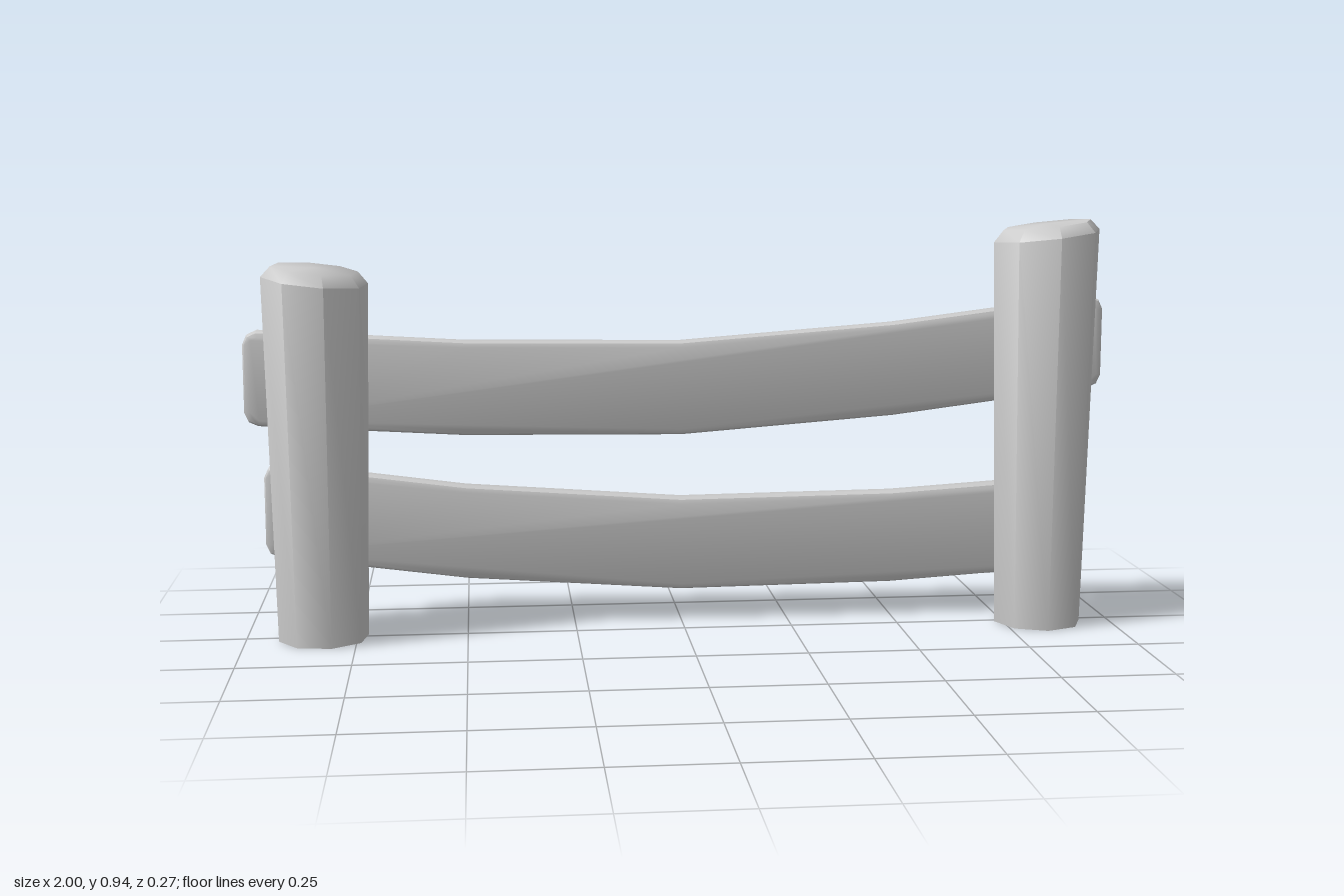
import * as THREE from 'three';
import { toCreasedNormals } from 'three/addons/utils/BufferGeometryUtils.js';

const material = new THREE.MeshStandardMaterial({ color: 0xcccccc });
const CREASE = 0.9;

// Eight-sided tapered post with a chamfered, sloping top
function makePost(name, x, z, height, radius, turn, slopeX, slopeZ) {
  const profile = [
    [0, 0], [0.102, 0], [radius, height - 0.028],
    [radius - 0.022, height - 0.003], [0, height],
  ].map(([r, y]) => new THREE.Vector2(r, y));
  const geometry = new THREE.LatheGeometry(profile, 8, turn);
  const p = geometry.attributes.position;
  for (let i = 0; i < p.count; i++) {
    if (p.getY(i) > height / 2) {
      p.setY(i, p.getY(i) + slopeX * p.getX(i) + slopeZ * p.getZ(i));
    }
  }
  const mesh = new THREE.Mesh(toCreasedNormals(geometry, CREASE), material);
  mesh.name = name;
  mesh.position.set(x, 0, z);
  return mesh;
}

// Sagging plank: centre line points, extruded in depth with rounded edges
function makeRail(name, line) {
  const half = 0.109, cut = 0.024;
  const n = line.length - 1;
  const top = [], bottom = [];
  line.forEach(([x, y], i) => {
    if (i === 0 || i === n) {
      // clipped corners at both ends
      const s = i === 0 ? 1 : -1;
      const corner = [[x, half - cut * 1.3], [x + s * cut * 0.4, half - cut * 0.4], [x + s * cut * 1.3, half]];
      if (i === n) corner.reverse();
      corner.forEach(([cx, h]) => {
        top.push([cx, y + h]);
        bottom.push([cx, y - h]);
      });
    } else {
      top.push([x, y + half]);
      bottom.push([x, y - half]);
    }
  });
  const outline = [...bottom, ...top.reverse()].map(([x, y]) => new THREE.Vector2(x, y));
  const bevel = 0.014;
  const geometry = new THREE.ExtrudeGeometry(new THREE.Shape(outline), {
    depth: 0.03, bevelEnabled: true, bevelSegments: 2,
    bevelSize: bevel, bevelThickness: bevel, bevelOffset: -bevel,
  });
  const mesh = new THREE.Mesh(toCreasedNormals(geometry, 0.6), material);
  mesh.name = name;
  mesh.position.z = -0.121;
  return mesh;
}

export function createModel() {
  const fence = new THREE.Group();
  fence.name = 'fence';
  fence.add(
    makePost('rightPost', -0.826, 0.008, 0.843, 0.119, 0.23, -0.1, -0.06),
    makePost('leftPost', 0.832, 0.012, 0.932, 0.1235, 0, 0.12, 0),
    makeRail('upperRail', [[-1, 0.584], [-0.5, 0.556], [0, 0.55], [0.5, 0.588], [1, 0.647]]),
    makeRail('lowerRail', [[-0.96, 0.277], [-0.5, 0.219], [0, 0.182], [0.5, 0.188], [0.965, 0.215]]),
  );
  return fence;
}
